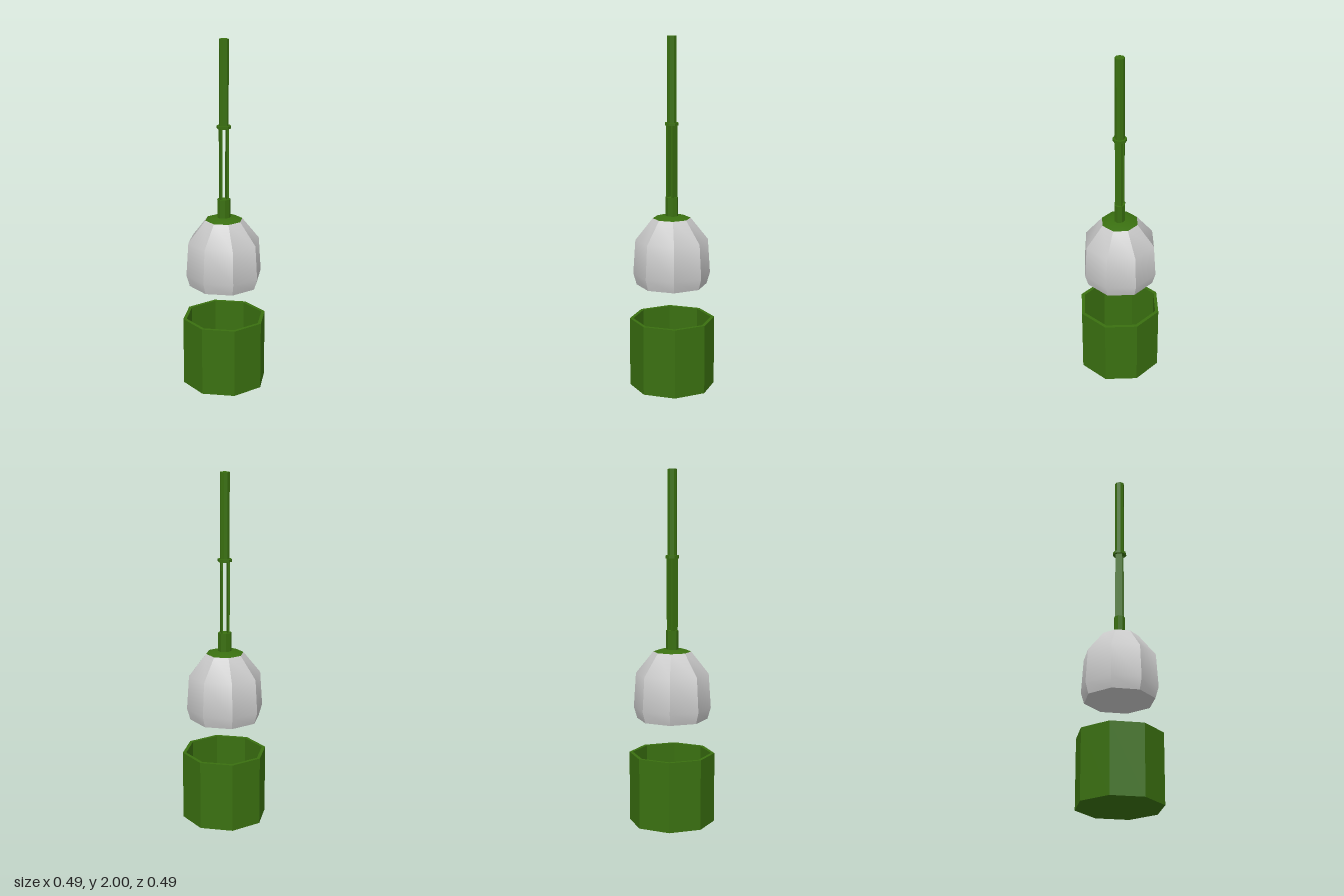
import * as THREE from 'three';
import { toCreasedNormals } from 'three/addons/utils/BufferGeometryUtils.js';

const green = new THREE.MeshStandardMaterial({ color: 0x3a7010 });
const grey = new THREE.MeshStandardMaterial({ color: 0xcccccc });

// Octagonal turned part; profile is [radius, y] running up the outside.
function turned(name, profile, material, turn = 0) {
  const points = profile.map(([r, y]) => new THREE.Vector2(r, y));
  const geometry = new THREE.LatheGeometry(points, 8);
  geometry.rotateY(turn);
  const mesh = new THREE.Mesh(toCreasedNormals(geometry, 0.59), material);
  mesh.name = name;
  return mesh;
}

// Closed octagonal cylinder between two heights.
const rod = (name, r, y0, y1, turn) =>
  turned(name, [[0, y0], [r, y0], [r, y1], [0, y1]], green, turn);

export function createModel() {
  const model = new THREE.Group();
  model.name = 'brushAndHolder';

  // Open pot with a thin wall and a floor
  model.add(turned('holder', [
    [0, 0], [0.243, 0], [0.243, 0.4], [0.223, 0.4], [0.223, 0.02], [0, 0.02],
  ], green));

  // Brush floating above the pot
  const brush = new THREE.Group();
  brush.name = 'brush';
  brush.position.x = -0.003;
  model.add(brush);

  brush.add(turned('bristles', [
    [0, 0.6], [0.2, 0.6], [0.219, 0.665], [0.206, 0.86], [0.107, 0.985], [0, 0.985],
  ], grey));
  brush.add(turned('bristleCap', [[0.107, 0.985], [0.07, 0.996], [0, 1.0]], green));

  // Handle: neck, two flat bars with a slot between, collar and grip
  const neck = rod('neck', 0.038, 0.99, 1.105, 0);
  neck.scale.z = 0.85;
  brush.add(neck);

  for (const side of [-1, 1]) {
    const bar = new THREE.Mesh(new THREE.BoxGeometry(0.011, 0.42, 0.04), green);
    bar.name = side > 0 ? 'leftBar' : 'rightBar';
    bar.position.set(side * 0.0185, 1.305, 0);
    brush.add(bar);
  }

  brush.add(rod('collar', 0.04, 1.51, 1.525, Math.PI / 8));
  brush.add(rod('grip', 0.027, 1.52, 2, Math.PI / 8));

  return model;
}
